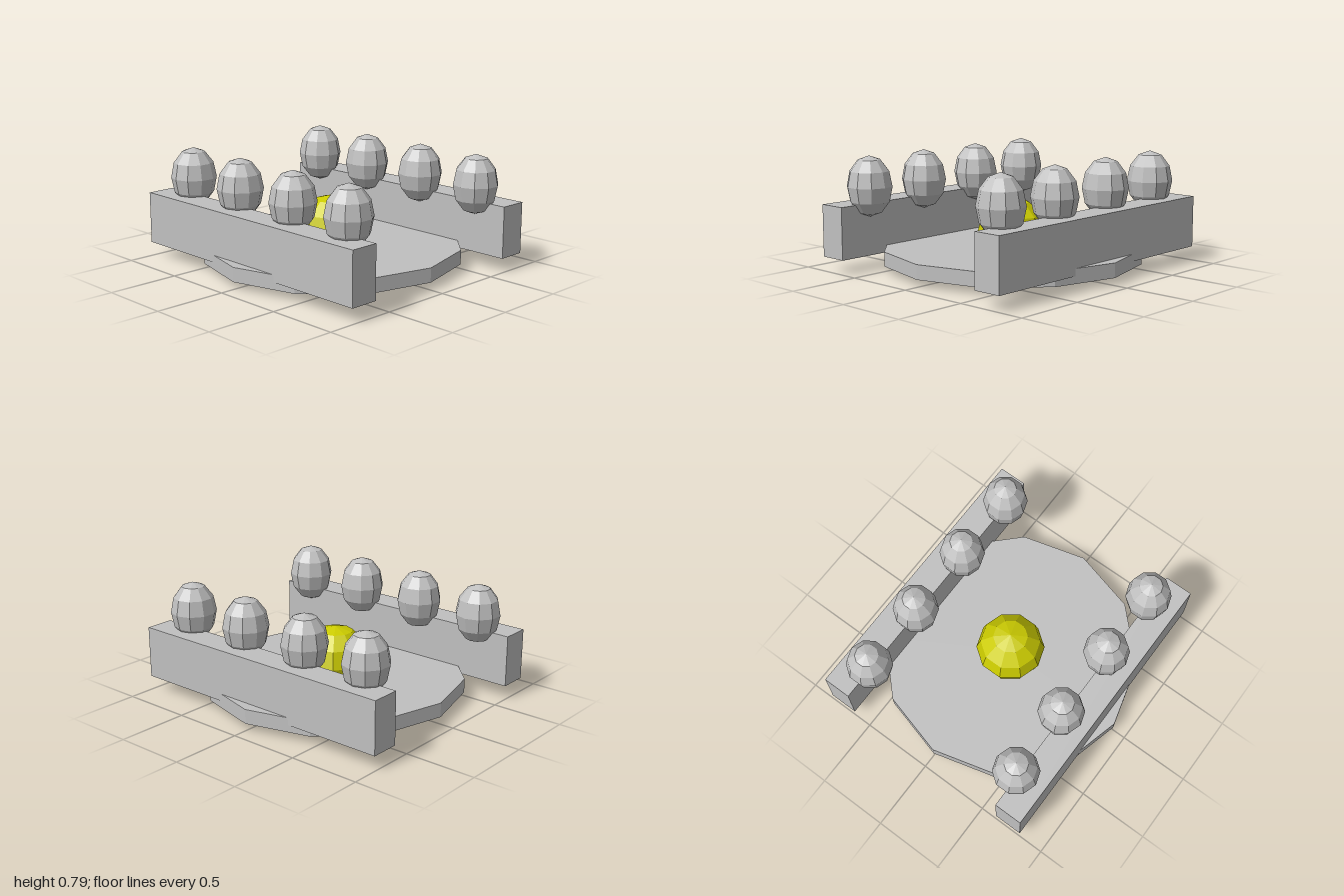
import * as THREE from 'three';

export function createModel() {
  const model = new THREE.Group();
  const silver = new THREE.MeshStandardMaterial({ color: 0xc0c0c0, flatShading: true });
  silver.name = 'silver';
  const yellow = new THREE.MeshStandardMaterial({ color: 0xcccc00, flatShading: true });
  yellow.name = 'yellow';

  const add = (name, geometry, material, x, y, z) => {
    const mesh = new THREE.Mesh(geometry, material);
    mesh.name = name;
    mesh.position.set(x, y, z);
    model.add(mesh);
  };

  // Twelve-sided base plate
  add('basePlate', new THREE.CylinderGeometry(0.9, 0.9, 0.1, 12), silver, 0, 0.1, 0);

  // Faceted core, sunk through the plate, with corners on the z axis
  const core = new THREE.SphereGeometry(0.24, 10, 6).rotateY(Math.PI / 2);
  add('core', core, yellow, 0, 0.24, 0);

  // Front and back beams, each carrying a row of four egg-shaped knobs
  const beam = new THREE.BoxGeometry(2, 0.36, 0.2);
  const knob = new THREE.SphereGeometry(0.158, 10, 6).rotateY(Math.PI / 2).scale(1, 1.32, 1);
  for (const [side, s] of [['front', 1], ['back', -1]]) {
    add(side + 'Beam', beam, silver, 0, 0.28, s * 0.72);
    [-0.76, -0.26, 0.26, 0.76].forEach((x, i) =>
      add(side + 'Knob' + (i + 1), knob, silver, x, 0.58, s * 0.61));
  }
  return model;
}
